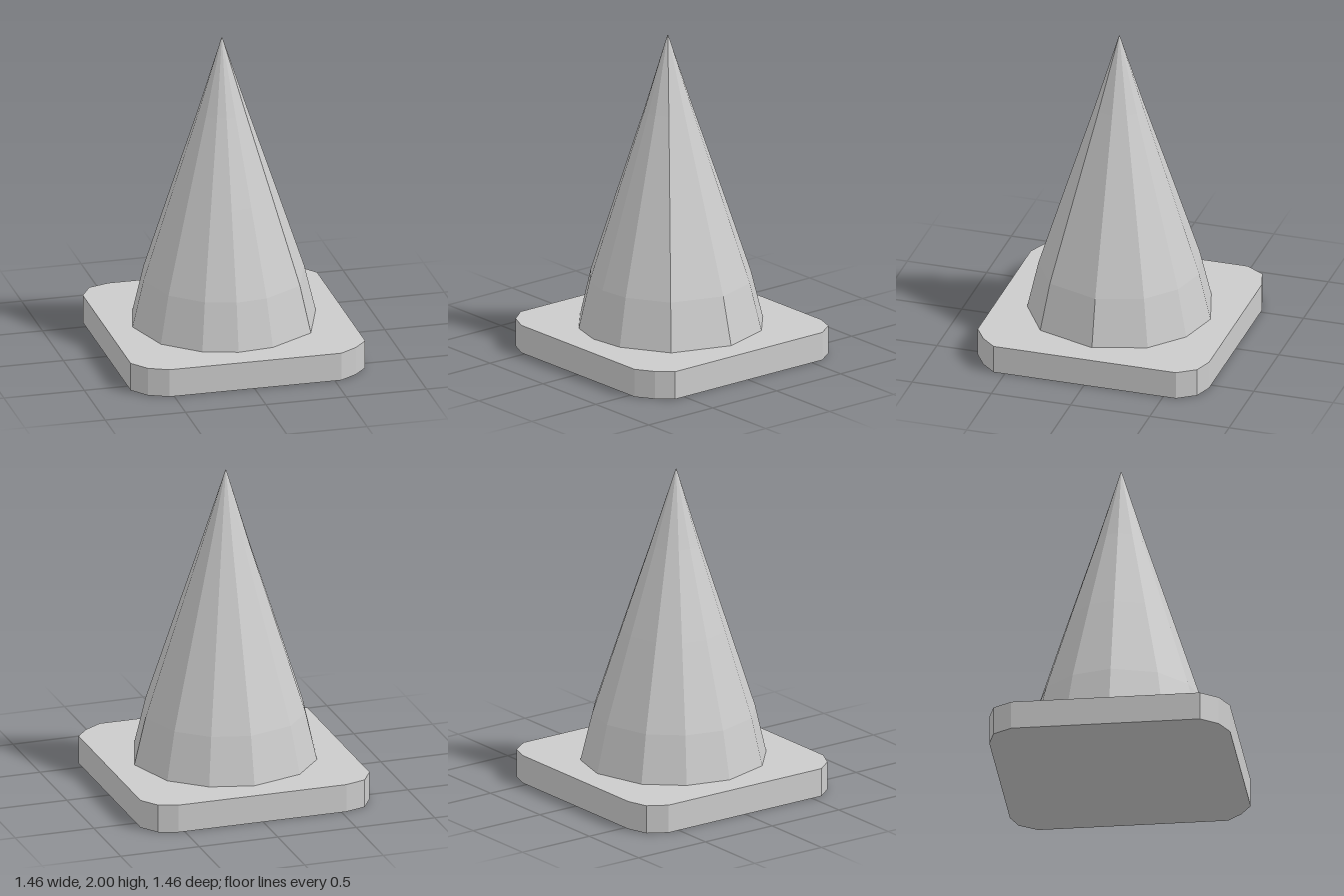
import * as THREE from 'three';

const material = new THREE.MeshStandardMaterial({ color: 0xcccccc, flatShading: true });

// Square slab with bevelled corners, extruded upward from the ground
function createBase(height) {
  const outline = [
    [-0.73, -0.575], [-0.66, -0.69], [-0.53, -0.73], [0.54, -0.73], [0.655, -0.69], [0.73, -0.58],
    [0.73, 0.57], [0.65, 0.66], [0.54, 0.73], [-0.53, 0.73], [-0.65, 0.675], [-0.73, 0.57],
  ];
  const shape = new THREE.Shape(outline.map(([x, z]) => new THREE.Vector2(x, -z)));
  const geometry = new THREE.ExtrudeGeometry(shape, { depth: height, bevelEnabled: false });
  geometry.rotateX(-Math.PI / 2);
  const mesh = new THREE.Mesh(geometry, material);
  mesh.name = 'base';
  return mesh;
}

// Uneven twelve-sided cone, lofted through shrinking cross-sections
function createCone(bottom) {
  const footprint = [
    [0, -0.57], [0.265, -0.5], [0.47, -0.32], [0.57, 0], [0.445, 0.365], [0.165, 0.535],
    [-0.055, 0.56], [-0.265, 0.5], [-0.475, 0.315], [-0.57, 0], [-0.5, -0.27], [-0.32, -0.475],
  ];
  // height, scale, centre x, centre z
  const rings = [
    [bottom, 1, 0, 0], [0.47, 0.877, -0.002, 0.002], [1, 0.573, -0.006, 0.004],
    [1.53, 0.265, -0.01, 0.007], [2, 0.005, -0.016, 0.01],
  ];
  const n = footprint.length;
  const positions = [];
  const indices = [];
  for (const [y, s, cx, cz] of rings) {
    for (const [x, z] of footprint) positions.push(cx + x * s, y, cz + z * s);
  }
  for (let r = 0; r < rings.length - 1; r++) {
    for (let i = 0; i < n; i++) {
      const a = r * n + i;
      const b = r * n + ((i + 1) % n);
      indices.push(b, a, a + n, b, a + n, b + n);
    }
  }
  // Tiny cap closing the tip
  const top = (rings.length - 1) * n;
  for (let i = 1; i < n - 1; i++) indices.push(top, top + i + 1, top + i);

  const geometry = new THREE.BufferGeometry();
  geometry.setAttribute('position', new THREE.Float32BufferAttribute(positions, 3));
  geometry.setIndex(indices);
  const faceted = geometry.toNonIndexed();
  faceted.computeVertexNormals();
  const mesh = new THREE.Mesh(faceted, material);
  mesh.name = 'cone';
  return mesh;
}

export function createModel() {
  const group = new THREE.Group();
  group.name = 'trafficCone';
  const baseHeight = 0.175;
  group.add(createBase(baseHeight), createCone(baseHeight));
  return group;
}
